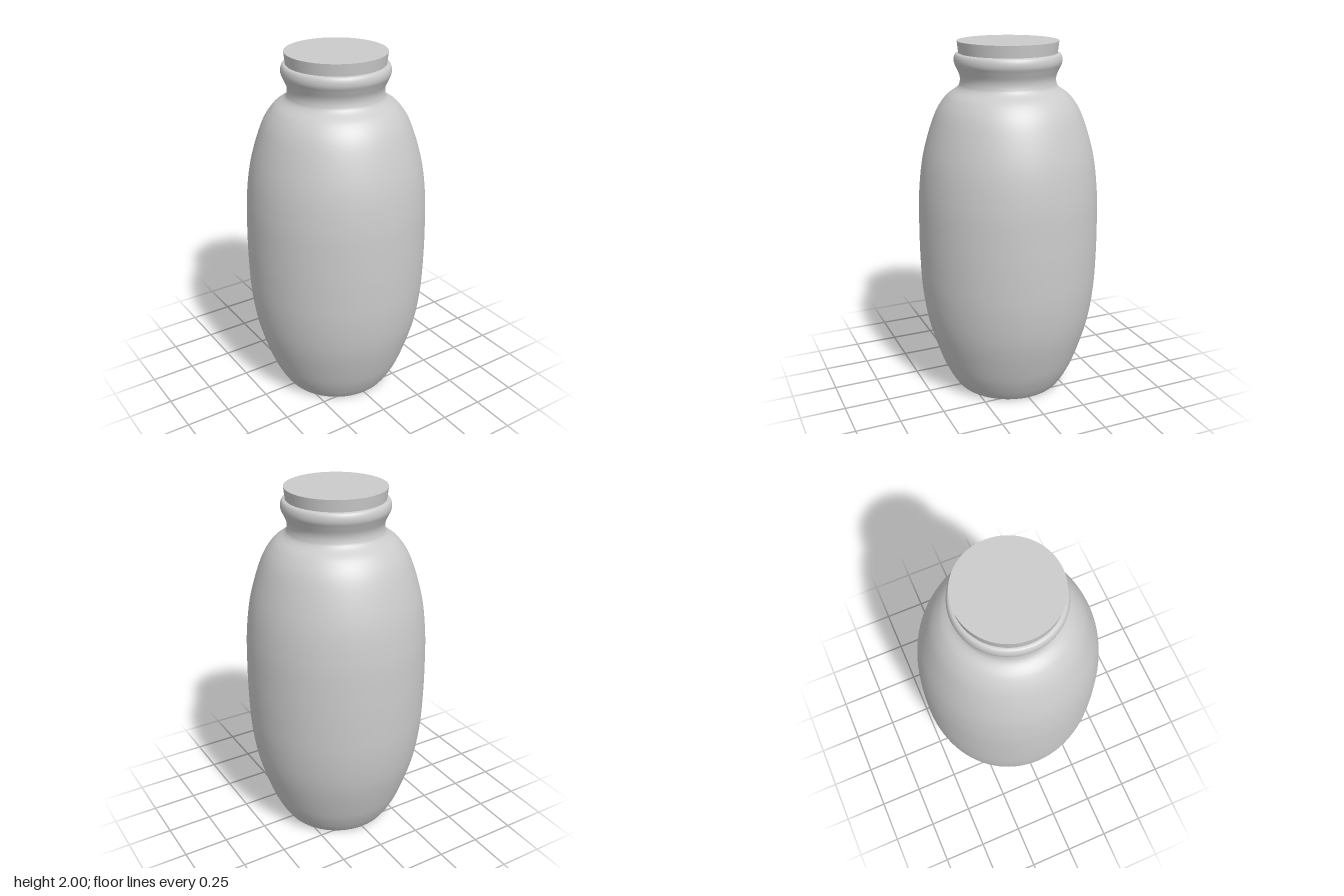
import * as THREE from 'three';

const SEGMENTS = 96;
const material = new THREE.MeshStandardMaterial({ color: 0xcccccc });

// Smooth surface of revolution through a few [radius, height] points
function turned(name, points, divisions) {
  const curve = new THREE.SplineCurve(points.map(([r, y]) => new THREE.Vector2(r, y)));
  const mesh = new THREE.Mesh(new THREE.LatheGeometry(curve.getPoints(divisions), SEGMENTS), material);
  mesh.name = name;
  return mesh;
}

export function createModel() {
  const jar = new THREE.Group();
  jar.name = 'jar';

  // Barrel-shaped body flowing into the waisted neck and rounded lip
  jar.add(turned('body', [
    [0.295, 0], [0.313, 0.012], [0.355, 0.08], [0.403, 0.19], [0.466, 0.4], [0.496, 0.6],
    [0.505, 0.8], [0.505, 1.0], [0.497, 1.2], [0.468, 1.4], [0.405, 1.6], [0.343, 1.7],
    [0.278, 1.75], [0.262, 1.78], [0.262, 1.815], [0.278, 1.855], [0.291, 1.885],
    [0.291, 1.912], [0.281, 1.932], [0.262, 1.937],
  ], 120));

  // Flat underside
  const base = new THREE.Mesh(new THREE.CircleGeometry(0.295, SEGMENTS), material);
  base.name = 'base';
  base.rotation.x = Math.PI / 2;
  jar.add(base);

  // Slightly tapered stopper set into the mouth
  const stopper = new THREE.Mesh(new THREE.CylinderGeometry(0.274, 0.265, 0.08, SEGMENTS), material);
  stopper.name = 'stopper';
  stopper.position.y = 1.96;
  jar.add(stopper);

  return jar;
}
